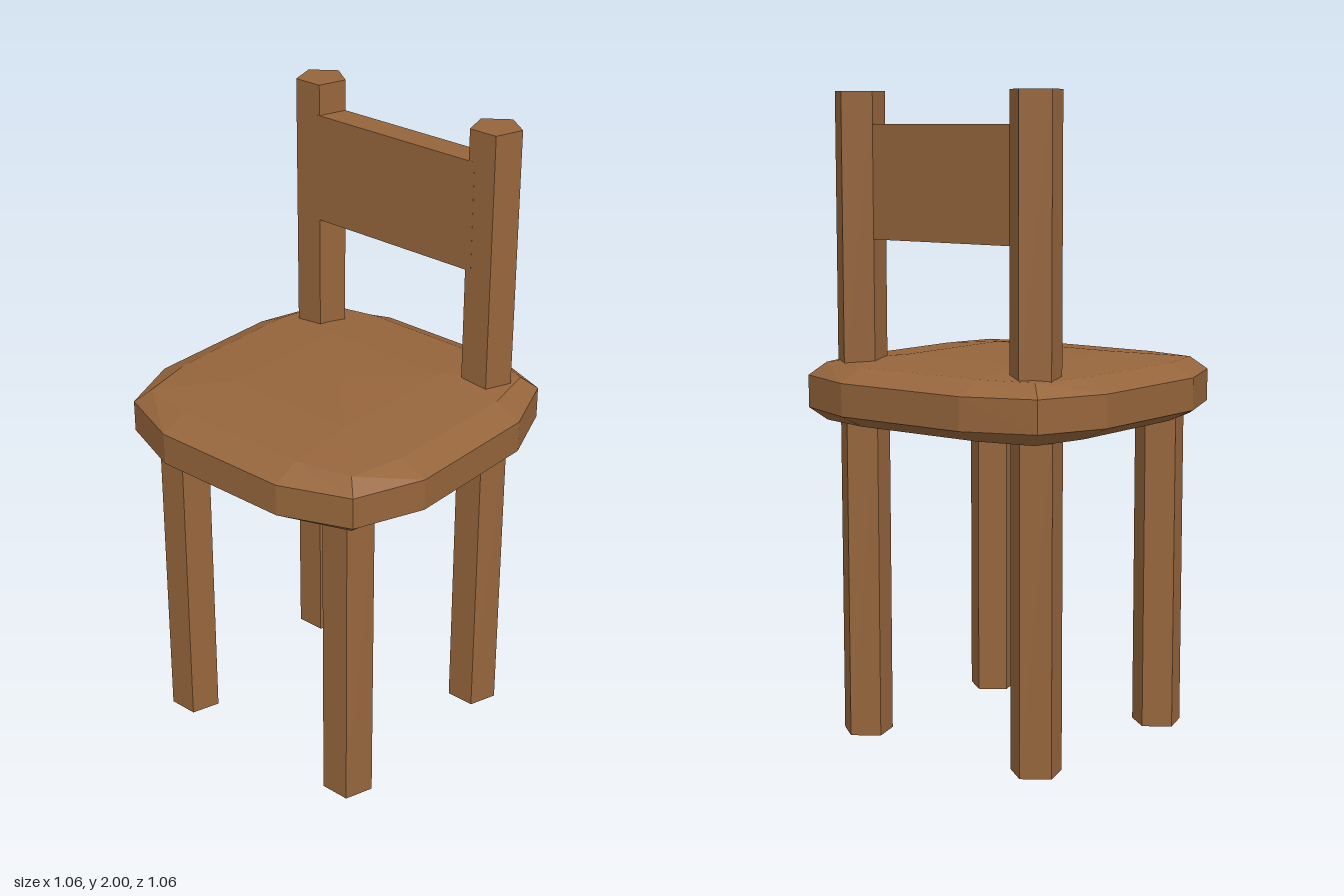
import * as THREE from 'three';

const wood = new THREE.MeshStandardMaterial({ color: 0x96653c, flatShading: true });

// Five-sided upright with one corner pointing to the back
function makePole(name, x, z, y0, y1) {
  const geometry = new THREE.CylinderGeometry(0.08, 0.08, y1 - y0, 5, 1, false, Math.PI);
  const mesh = new THREE.Mesh(geometry, wood);
  mesh.name = name;
  mesh.position.set(x, (y0 + y1) / 2, z);
  return mesh;
}

// Twelve-point ring: one quadrant's corner, turned four times
function makeRing(y, far, near, corner) {
  let quadrant = [[far, near], [corner, corner], [near, far]];
  const ring = [];
  for (let q = 0; q < 4; q++) {
    for (const [x, z] of quadrant) ring.push(new THREE.Vector3(x, y, z));
    quadrant = quadrant.map(([x, z]) => [-z, x]);
  }
  return ring;
}

// Bevelled, slightly domed seat skinned through rings from bottom to top
function makeSeat() {
  const rings = [
    makeRing(0.978, 0, 0, 0),
    makeRing(0.98, 0.225, 0.225, 0.225),
    makeRing(1.0, 0.442, 0.225, 0.402),
    makeRing(1.04, 0.528, 0.226, 0.442),
    makeRing(1.14, 0.528, 0.226, 0.442),
    makeRing(1.18, 0.442, 0.225, 0.402),
    makeRing(1.2, 0.225, 0.225, 0.225),
    makeRing(1.202, 0, 0, 0),
  ];
  const points = [];
  const addTriangle = (a, b, c) => {
    if (new THREE.Triangle(a, b, c).getArea() > 1e-6) points.push(a, b, c);
  };
  for (let r = 0; r < rings.length - 1; r++) {
    const low = rings[r], high = rings[r + 1];
    for (let i = 0; i < 12; i++) {
      const j = (i + 1) % 12;
      addTriangle(low[i], high[i], high[j]);
      addTriangle(low[i], high[j], low[j]);
    }
  }
  const geometry = new THREE.BufferGeometry().setFromPoints(points);
  geometry.computeVertexNormals();
  const mesh = new THREE.Mesh(geometry, wood);
  mesh.name = 'seat';
  return mesh;
}

export function createModel() {
  const chair = new THREE.Group();
  chair.name = 'chair';
  chair.add(makeSeat());

  // Legs and back posts on each side
  for (const [side, legX, postX] of [['left', 0.332, 0.328], ['right', -0.338, -0.344]]) {
    chair.add(makePole(side + 'FrontLeg', legX, 0.33, 0, 1.03));
    chair.add(makePole(side + 'BackLeg', legX, -0.31, 0, 1.03));
    chair.add(makePole(side + 'BackPost', postX, -0.323, 1.14, 2));
  }

  // Back rest panel between the posts
  const panel = new THREE.Mesh(new THREE.BoxGeometry(0.62, 0.345, 0.09), wood);
  panel.name = 'backRest';
  panel.position.set(-0.008, 1.73, -0.303);
  chair.add(panel);

  return chair;
}
